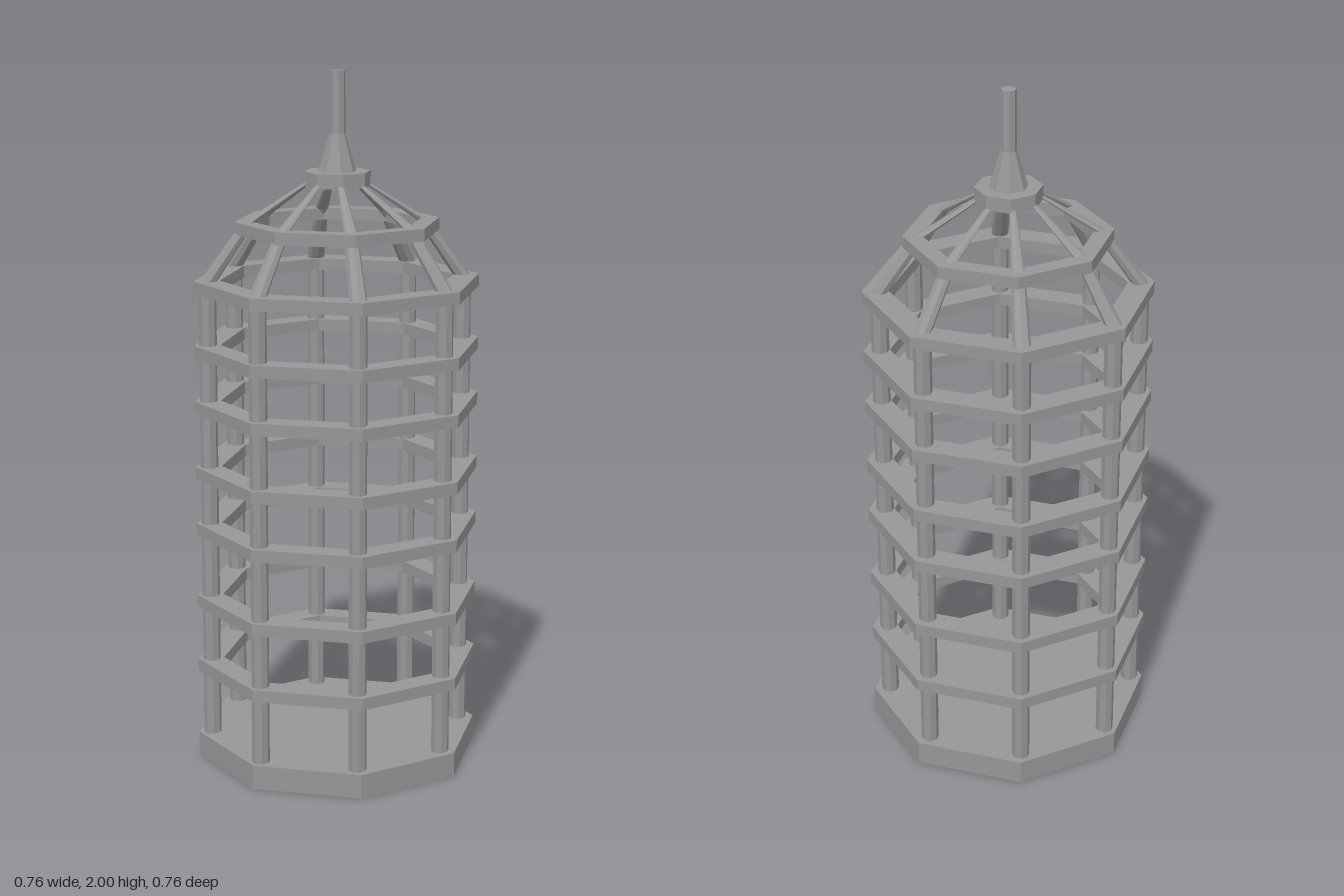
import * as THREE from 'three';

const SIDES = 8;
const TURN = Math.PI / SIDES; // flats face the axes
const CORNER = 1 / Math.cos(TURN); // apothem to corner radius

const material = new THREE.MeshStandardMaterial({
  color: 0x969696, flatShading: true, side: THREE.DoubleSide,
});

// Octagonal shell turned from [apothem, y] pairs, outside going upwards.
function octagon(name, profile) {
  const points = profile.map(([a, y]) => new THREE.Vector2(a * CORNER, y));
  const mesh = new THREE.Mesh(new THREE.LatheGeometry(points, SIDES, TURN), material);
  mesh.name = name;
  return mesh;
}

// Octagonal hoop: a channel with outer wall, top and inner wall, open underneath.
function hoop(name, outer, inner, y, height) {
  const lo = y - height / 2, hi = y + height / 2;
  return octagon(name, [[outer, lo], [outer, hi], [inner, hi], [inner, lo]]);
}

// Leaning bar between two [radius, y, half width] ends at one corner.
// Its octagonal sections stay level and square to the axes.
function bar(name, angle, [r0, y0, w0], [r1, y1, w1]) {
  const height = y1 - y0, lean = (r1 - r0) / height, r = (r0 + r1) / 2;
  const s = Math.sin(angle), c = Math.cos(angle);
  const geometry = new THREE.CylinderGeometry(w1 * CORNER, w0 * CORNER, height, 8, 1, false, TURN);
  geometry.applyMatrix4(new THREE.Matrix4().set(
    1, lean * s, 0, r * s,
    0, 1, 0, (y0 + y1) / 2,
    0, lean * c, 1, r * c,
    0, 0, 0, 1,
  ));
  const mesh = new THREE.Mesh(geometry, material);
  mesh.name = name;
  return mesh;
}

export function createModel() {
  const model = new THREE.Group();
  model.name = 'octagonalCage';

  // Base tray, open underneath
  model.add(octagon('base', [[0.381, 0], [0.381, 0.07], [0, 0.07]]));

  // Hoops around the cage and the smaller one on the dome
  [0.279, 0.474, 0.69, 0.858, 1.051, 1.213, 1.398].forEach((y) => {
    model.add(hoop('hoop', 0.381, 0.311, y, 0.035));
  });
  model.add(hoop('domeHoop', 0.272, 0.223, 1.563, 0.035));

  // Upright posts and the two stages of dome ribs at every corner
  const bars = new THREE.Group();
  bars.name = 'bars';
  bars.position.set(-0.004, 0, 0.002);
  for (let i = 0; i < SIDES; i++) {
    const angle = TURN + i * 2 * TURN;
    bars.add(bar('post', angle, [0.368, 0.028, 0.0235], [0.368, 1.41, 0.0235]));
    bars.add(bar('lowerRib', angle, [0.368, 1.41, 0.0235], [0.25, 1.577, 0.0175]));
    bars.add(bar('upperRib', angle, [0.25, 1.577, 0.0175], [0.078, 1.69, 0.008]));
  }
  model.add(bars);

  // Cap, open underneath, and spire
  model.add(octagon('cap', [[0.088, 1.677], [0.088, 1.719], [0, 1.719]]));
  model.add(octagon('spire', [[0.05, 1.719], [0.021, 1.825], [0.02, 2], [0, 2]]));

  return model;
}
